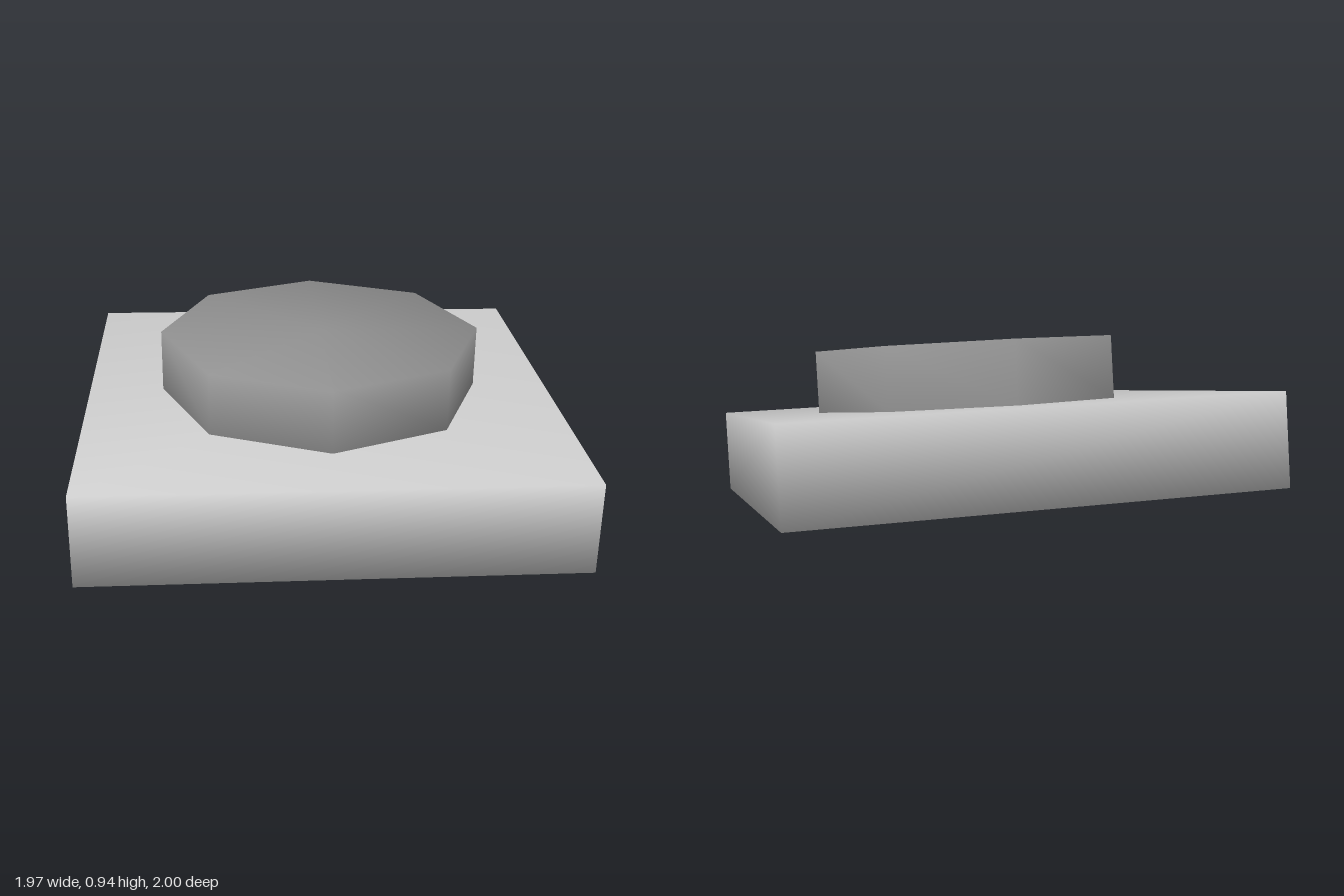
import * as THREE from 'three';
import { mergeVertices } from 'three/addons/utils/BufferGeometryUtils.js';

const LENGTH = 1.966, THICKNESS = 0.376, WIDTH = 1.97, TILT = 0.194;
const KNOB_RADIUS = 0.675, KNOB_HEIGHT = 0.26;

// Share corners so the normals blend softly across every edge
function smooth(geometry) {
  geometry.deleteAttribute('normal');
  geometry.deleteAttribute('uv');
  const merged = mergeVertices(geometry);
  merged.computeVertexNormals();
  return merged;
}

export function createModel() {
  const model = new THREE.Group();
  model.name = 'tiltedButton';
  const lightGrey = new THREE.MeshStandardMaterial({ color: 0xcccccc });
  lightGrey.name = 'light grey';
  const midGrey = new THREE.MeshStandardMaterial({ color: 0x8c8c8c });
  midGrey.name = 'mid grey';

  // Both parts lean towards the front together
  const tilted = new THREE.Group();
  tilted.name = 'tiltedAssembly';
  tilted.rotation.x = TILT;
  tilted.position.y = (THICKNESS * Math.cos(TILT) + LENGTH * Math.sin(TILT)) / 2;
  model.add(tilted);

  // Square base slab
  const slab = new THREE.Mesh(
    smooth(new THREE.BoxGeometry(WIDTH, THICKNESS, LENGTH)), lightGrey);
  slab.name = 'baseSlab';
  tilted.add(slab);

  // Octagonal button, one corner pointing to the front
  const profile = [[KNOB_RADIUS, 0], [KNOB_RADIUS, KNOB_HEIGHT], [0, KNOB_HEIGHT]]
    .map(([r, y]) => new THREE.Vector2(r, y));
  const button = new THREE.Mesh(smooth(new THREE.LatheGeometry(profile, 8)), midGrey);
  button.name = 'octagonalButton';
  button.position.y = THICKNESS / 2;
  tilted.add(button);

  return model;
}
